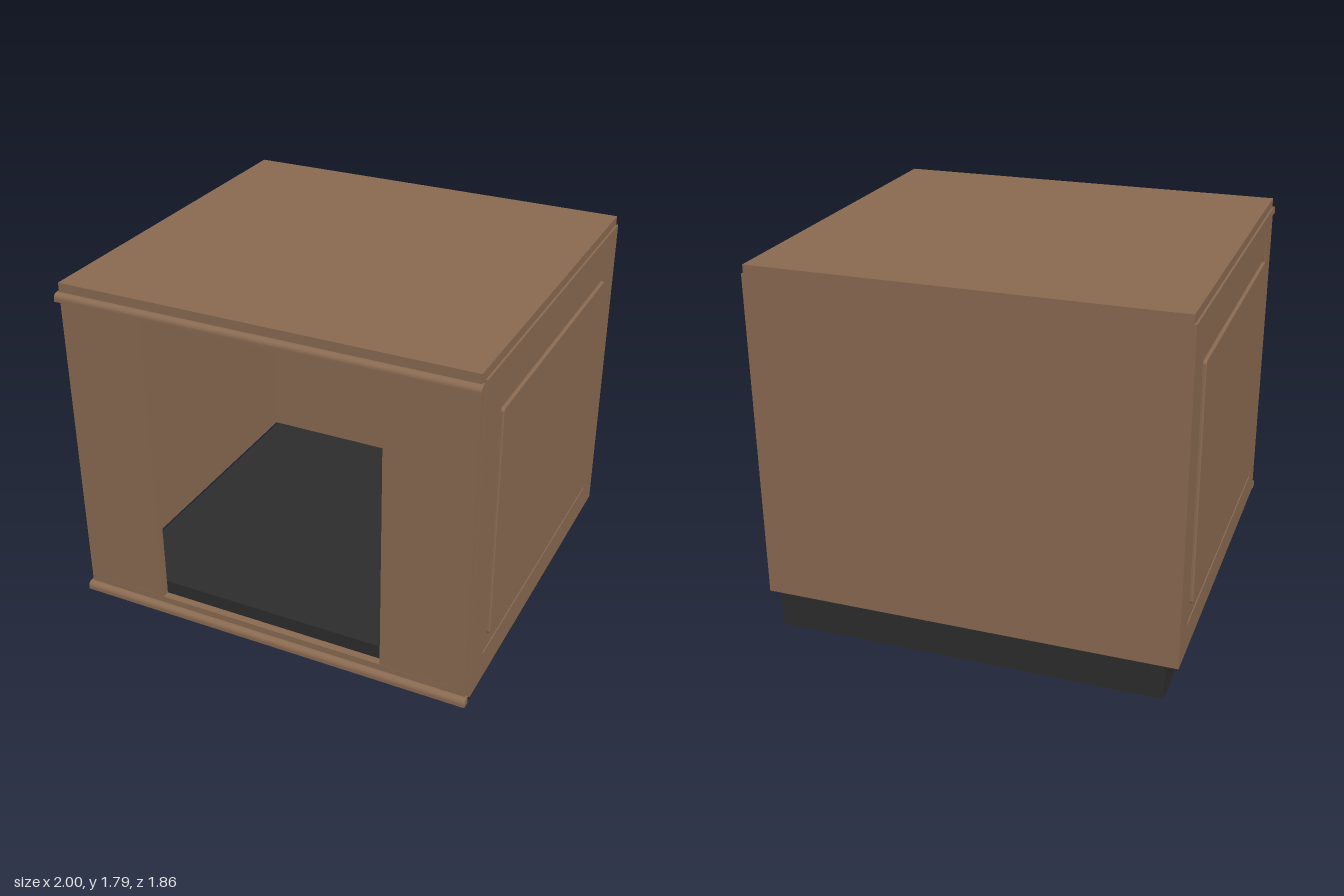
import * as THREE from 'three';

const wood = new THREE.MeshStandardMaterial({ color: 0x8b6b52 });
wood.name = 'brown wood';
const dark = new THREE.MeshStandardMaterial({ color: 0x2d2d2d });
dark.name = 'dark plinth';

// Box given by its limits on each axis
function box(name, material, [x0, x1], [y0, y1], [z0, z1]) {
  const mesh = new THREE.Mesh(new THREE.BoxGeometry(x1 - x0, y1 - y0, z1 - z0), material);
  mesh.position.set((x0 + x1) / 2, (y0 + y1) / 2, (z0 + z1) / 2);
  mesh.name = name;
  return mesh;
}

// Rectangle with rounded corners as a list of points
function rectPoints(x0, x1, y0, y1, r = 0) {
  if (!r) return [[x0, y0], [x1, y0], [x1, y1], [x0, y1]].map(p => new THREE.Vector2(...p));
  const corners = [[x1 - r, y1 - r], [x0 + r, y1 - r], [x0 + r, y0 + r], [x1 - r, y0 + r]];
  return corners.flatMap(([cx, cy], i) => [0, 1, 2, 3, 4].map(k => {
    const a = (i + k / 4) * Math.PI / 2;
    return new THREE.Vector2(cx + r * Math.cos(a), cy + r * Math.sin(a));
  }));
}

// Side wall: frame, recessed field and raised centre panel, facing local +z
function sideWall(name) {
  const group = new THREE.Group();
  group.name = name;

  const frameShape = new THREE.Shape(rectPoints(-0.8975, 0.8975, 0.17, 1.745));
  frameShape.holes.push(new THREE.Path(rectPoints(-0.7575, 0.7575, 0.307, 1.603)));
  const frame = new THREE.Mesh(
    new THREE.ExtrudeGeometry(frameShape, { depth: 0.05, bevelEnabled: false }), wood);
  frame.position.z = 0.94;
  frame.name = 'sideFrame';

  const field = box('sideField', wood, [-0.7575, 0.7575], [0.307, 1.603], [0.94, 0.985]);

  const panelShape = new THREE.Shape(rectPoints(-0.7, 0.7, 0.39, 1.52, 0.01));
  const panel = new THREE.Mesh(new THREE.ExtrudeGeometry(panelShape, {
    depth: 0.01, bevelThickness: 0.007, bevelSize: 0.007, bevelSegments: 3
  }), wood);
  panel.position.z = 0.983;
  panel.name = 'raisedPanel';

  group.add(frame, field, panel);
  group.position.z = -0.0325;
  return group;
}

// Quarter-round moulding running across the front
function moulding(name, y) {
  const s = new THREE.Shape();
  s.moveTo(-0.89, 0);
  s.lineTo(-0.89, 0.038);
  s.lineTo(-0.906, 0.038);
  s.quadraticCurveTo(-0.93, 0.035, -0.93, 0.012);
  s.lineTo(-0.93, 0);
  const geo = new THREE.ExtrudeGeometry(s, { depth: 1.98, bevelEnabled: false, curveSegments: 8 });
  geo.rotateY(Math.PI / 2);
  const mesh = new THREE.Mesh(geo, wood);
  mesh.position.set(-0.99, y, 0);
  mesh.name = name;
  return mesh;
}

export function createModel() {
  const model = new THREE.Group();
  model.name = 'cabinet';

  // Plinth, whose top is the cabinet floor
  model.add(box('plinth', dark, [-0.93, 0.93], [0, 0.17], [-0.93, 0.725]));

  // Carcass
  model.add(box('top', wood, [-0.98, 0.98], [1.745, 1.787], [-0.93, 0.865]));
  model.add(box('back', wood, [-0.94, 0.94], [0.17, 1.745], [-0.93, -0.9]));

  // Front frame rails
  const frontZ = [0.865, 0.902];
  model.add(box('topRail', wood, [-0.91, 0.91], [1.7, 1.787], frontZ));
  model.add(box('bottomRail', wood, [-0.91, 0.91], [0.17, 0.228], frontZ));

  // Mirrored walls, stiles and front panels
  for (const side of [1, -1]) {
    const label = side > 0 ? 'left' : 'right';
    const span = (a, b) => (side > 0 ? [a, b] : [-b, -a]);
    const wall = sideWall(label + 'Wall');
    wall.rotation.y = side * Math.PI / 2;
    model.add(wall);
    model.add(box(label + 'Stile', wood, span(0.91, 0.98), [0.17, 1.787], frontZ));
    model.add(box(label + 'FrontPanel', wood, span(0.57, 0.91), [0.228, 1.7], [0.865, 0.901]));
  }

  // Front mouldings
  model.add(moulding('topMoulding', 1.706));
  model.add(moulding('bottomMoulding', 0.158));
  return model;
}
